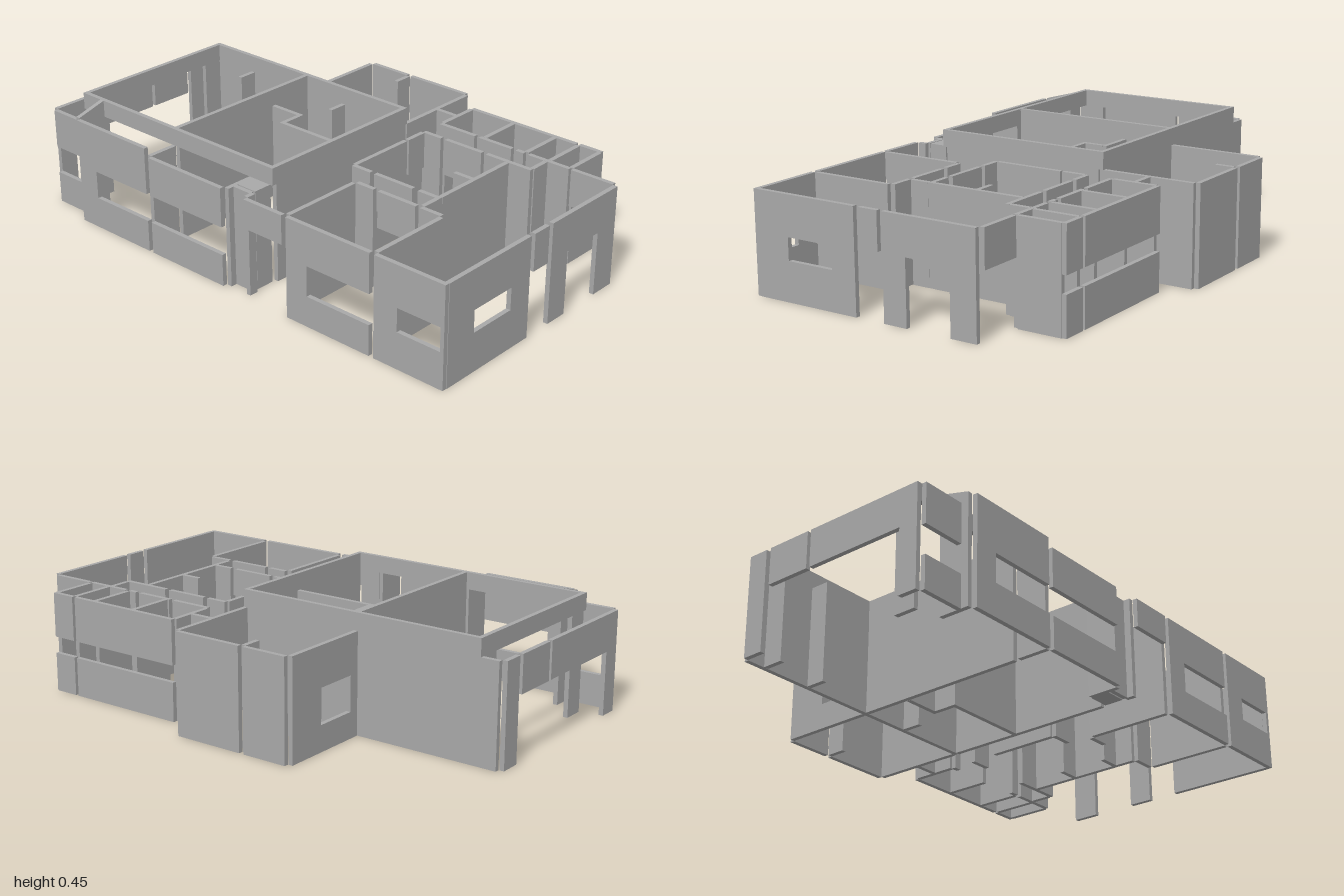
import * as THREE from 'three';

const T = 0.018; // wall thickness
const H = 0.387; // wall height
const TALL = 0.453; // top of the raised ring beam
const DOOR = 0.245; // underside of door lintels

export function createModel() {
  const model = new THREE.Group();
  model.name = 'floorPlanWalls';
  const plaster = new THREE.MeshStandardMaterial({ color: 0xa8a8a8 });
  plaster.name = 'grey plaster';

  const block = (group, along, a0, a1, c, y0, y1) => {
    if (a1 - a0 < 0.002 || y1 - y0 < 0.002) return;
    const size = along === 'x' ? [a1 - a0, y1 - y0, T] : [T, y1 - y0, a1 - a0];
    const mesh = new THREE.Mesh(new THREE.BoxGeometry(...size), plaster);
    const mid = (a0 + a1) / 2;
    mesh.position.set(along === 'x' ? mid : c, (y0 + y1) / 2, along === 'x' ? c : mid);
    mesh.name = group.name + 'Piece';
    group.add(mesh);
  };

  // One straight wall from a0 to a1, with an optional opening [start, end, bottom, top]
  const wall = (name, along, c, a0, a1, hole, h = H) => {
    const group = new THREE.Group();
    group.name = name;
    if (hole) {
      const [s, e, b, t] = hole;
      block(group, along, a0, s, c, 0, h);
      block(group, along, e, a1, c, 0, h);
      block(group, along, s, e, c, 0, b);
      block(group, along, s, e, c, t, h);
    } else block(group, along, a0, a1, c, 0, h);
    model.add(group);
  };
  const lintel = (along, c, a0, a1) => wall('doorLintel', along, c, a0, a1, [a0, a1, 0, DOOR]);

  // Front facade
  wall('sidePorchFront', 'x', 0.565, -0.98, -0.8, [-0.98, -0.8, 0.125, 0.235]);
  wall('frontWindowWall', 'x', 0.612, -0.785, -0.408, [-0.69, -0.408, 0.125, 0.235], 0.418);
  wall('frontWindowWall', 'x', 0.612, -0.388, -0.015, [-0.388, -0.015, 0.125, 0.235]);
  wall('entranceLintel', 'x', 0.617, 0.105, 0.285, [0.105, 0.285, 0, 0.275]);
  wall('frontWindowWall', 'x', 0.617, 0.305, 0.68, [0.4, 0.68, 0.118, 0.235]);
  wall('frontWindowWall', 'x', 0.617, 0.7, 0.995, [0.8, 0.98, 0.14, 0.23]);

  // Right side
  wall('rightWindowWall', 'z', 0.988, 0.18, 0.608, [0.28, 0.475, 0.15, 0.235]);
  lintel('z', 0.988, 0.08, 0.16);
  wall('rightDoorWall', 'z', 0.988, -0.32, 0.06, [-0.215, -0.035, 0, DOOR]);

  // Left side porch
  wall('leftPorchPier', 'z', -0.992, -0.22, -0.14);
  lintel('z', -0.992, -0.12, 0.06);
  wall('leftPorchOpening', 'z', -0.992, 0.075, 0.555, [0.075, 0.48, 0, DOOR]);

  // Back facade
  wall('backWall', 'x', -0.62, -0.39, -0.21);
  wall('backWall', 'x', -0.62, -0.19, 0.09);
  wall('backSideWall', 'z', -0.4, -0.61, -0.24, [-0.45, -0.28, 0.1, 0.235]);
  wall('backSideWall', 'z', 0.097, -0.61, -0.24);
  wall('backStub', 'z', -0.2, -0.61, -0.535);
  wall('backWindowWall', 'x', -0.427, 0.106, 0.195, [0.106, 0.195, 0.145, 0.215]);
  wall('backWindowWall', 'x', -0.522, 0.2, 0.685, [0.2, 0.685, 0.15, 0.215]);
  wall('backWindowWall', 'x', -0.522, 0.698, 0.795, [0.698, 0.795, 0.15, 0.215]);
  wall('backLeftReturn', 'z', 0.2, -0.513, -0.34);

  // Long walls of the main hall
  wall('hallBackWall', 'x', -0.23, -0.98, 0.1);
  wall('hallDivider', 'z', -0.4, -0.22, 0.465);
  wall('hallRightWall', 'z', 0.097, -0.22, 0.465);
  wall('hallPier', 'z', -0.9, -0.22, -0.14);
  wall('hallPier', 'z', -0.9, 0.38, 0.465);
  for (const x of [-0.695, -0.2]) wall('hallStub', 'z', x, -0.22, -0.145);
  wall('kitchenWall', 'x', -0.03, -0.39, -0.242);
  wall('kitchenWall', 'z', -0.25, -0.021, 0.056);
  wall('kitchenWall', 'x', 0.065, -0.259, 0.088);

  // Raised ring beam around the hall
  const ring = (along, c, a0, a1) =>
    wall('ringBeam', along, c, a0, a1, [a0, a1, 0, H], TALL);
  ring('x', -0.23, -0.909, 0.106);
  ring('x', 0.474, -0.909, 0.106);
  for (const x of [-0.9, -0.4, 0.097]) ring('z', x, -0.221, 0.465);

  // Front return walls: the first has a sloping top
  const slope = new THREE.Shape([
    [-0.603, 0], [-0.483, 0], [-0.483, TALL], [-0.603, 0.42],
  ].map(p => new THREE.Vector2(...p)));
  const sloped = new THREE.Mesh(
    new THREE.ExtrudeGeometry(slope, { depth: T, bevelEnabled: false }), plaster);
  sloped.name = 'slopedReturnWall';
  sloped.rotation.y = Math.PI / 2;
  sloped.position.x = -0.8 - T / 2;
  model.add(sloped);
  wall('frontReturn', 'z', -0.4, 0.483, 0.603);
  wall('frontReturn', 'z', 0, 0.483, 0.603);
  wall('entranceReturn', 'z', 0.097, 0.57, 0.605);
  wall('shaftFront', 'x', 0.57, 0.009, 0.088);

  // Solid shaft beside the entrance
  const shaft = new THREE.Mesh(new THREE.BoxGeometry(0.085, H, 0.075), plaster);
  shaft.name = 'entranceShaft';
  shaft.position.set(0.05, H / 2, 0.518);
  model.add(shaft);

  // Partitions of the back rooms
  for (const x of [0.4, 0.592, 0.697, 0.79]) wall('backRoomPartition', 'z', x, -0.513, -0.34);
  wall('corridorWall', 'x', -0.33, 0.2, 0.365, [0.23, 0.365, 0, DOOR]);
  lintel('x', -0.33, 0.385, 0.535);
  wall('corridorWall', 'x', -0.33, 0.555, 0.59);
  wall('corridorWall', 'x', -0.33, 0.61, 0.79);
  lintel('x', -0.33, 0.8, 0.975);
  wall('corridorEnd', 'z', 0.69, -0.32, -0.24);

  // Middle room
  wall('middleRoomBack', 'x', -0.23, 0.2, 0.285);
  lintel('x', -0.23, 0.305, 0.475);
  wall('middleRoomBack', 'x', -0.23, 0.495, 0.695);
  lintel('z', 0.2, -0.22, -0.13);
  wall('middleRoomLeft', 'z', 0.2, -0.12, 0.157);
  wall('middleRoomRight', 'z', 0.592, -0.22, 0.157);
  wall('middleRoomRight', 'z', 0.592, 0.175, 0.25);
  wall('middleRoomStub', 'x', -0.03, 0.505, 0.583);
  wall('middleRoomFront', 'x', 0.166, 0.2, 0.285);
  lintel('x', 0.166, 0.305, 0.48);
  wall('middleRoomFront', 'x', 0.166, 0.505, 0.6);

  // Front room
  wall('frontRoomBack', 'x', 0.262, 0.305, 0.385);
  lintel('x', 0.262, 0.405, 0.575);
  wall('frontRoomBack', 'x', 0.262, 0.595, 0.685);
  for (const x of [0.297, 0.692]) wall('frontRoomSide', 'z', x, 0.275, 0.603);

  return model;
}
